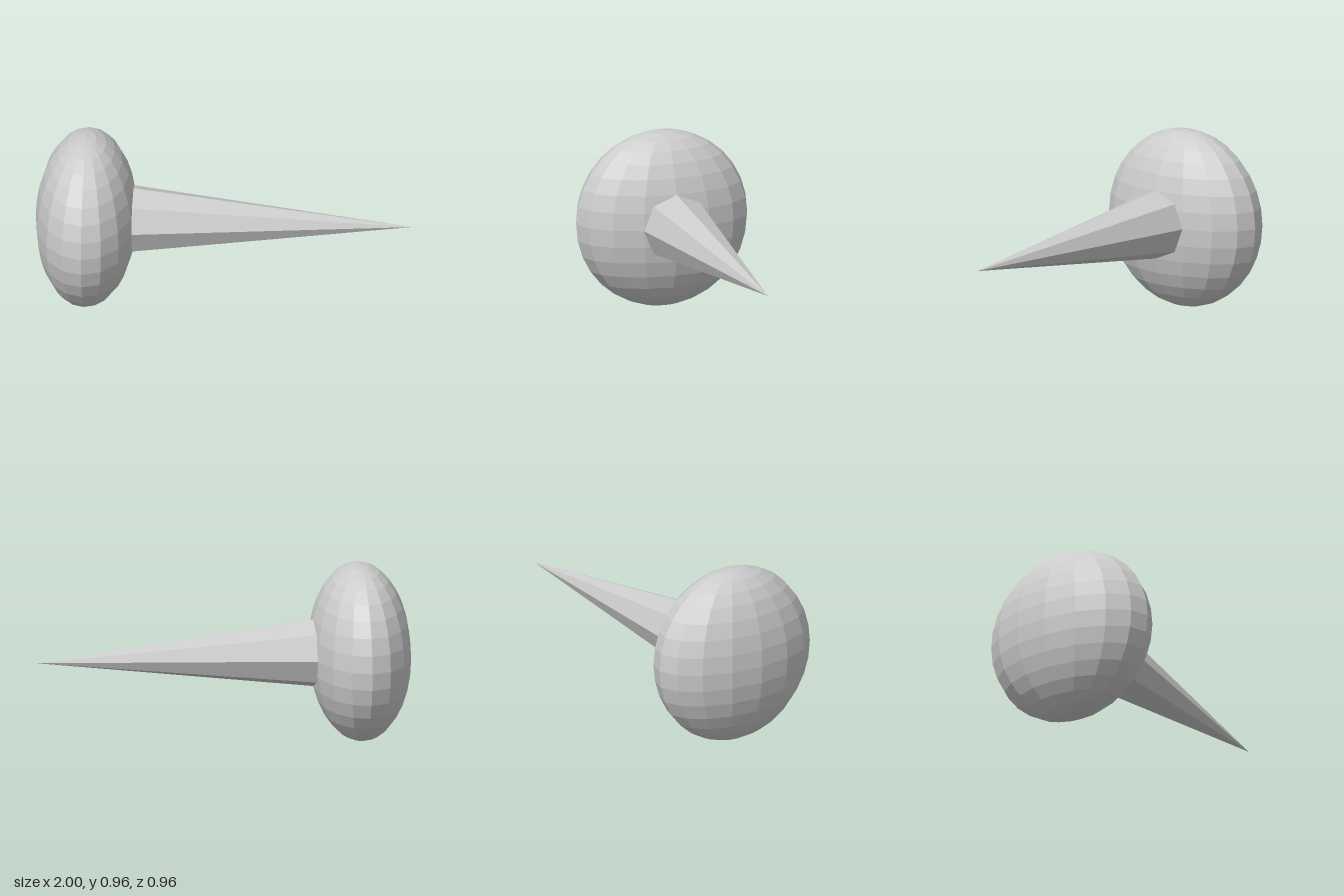
import * as THREE from 'three';

export function createModel() {
  const group = new THREE.Group();
  const material = new THREE.MeshStandardMaterial({ color: 0xcccccc, flatShading: true });
  const axisY = 0.479;

  // Flattened round head, poles pointing up and down
  const head = new THREE.Mesh(new THREE.SphereGeometry(1, 16, 16), material);
  head.name = 'head';
  head.scale.set(0.27, axisY, axisY);
  head.position.set(-0.73, axisY, 0);
  group.add(head);

  // Eight-sided spike running from the head to a point at +x
  const baseX = -0.481, tipX = 1;
  const spikeGeometry = new THREE.ConeGeometry(0.183, tipX - baseX, 8);
  spikeGeometry.rotateZ(-Math.PI / 2);
  const spike = new THREE.Mesh(spikeGeometry, material);
  spike.name = 'spike';
  spike.position.set((baseX + tipX) / 2, axisY, 0);
  group.add(spike);

  return group;
}
